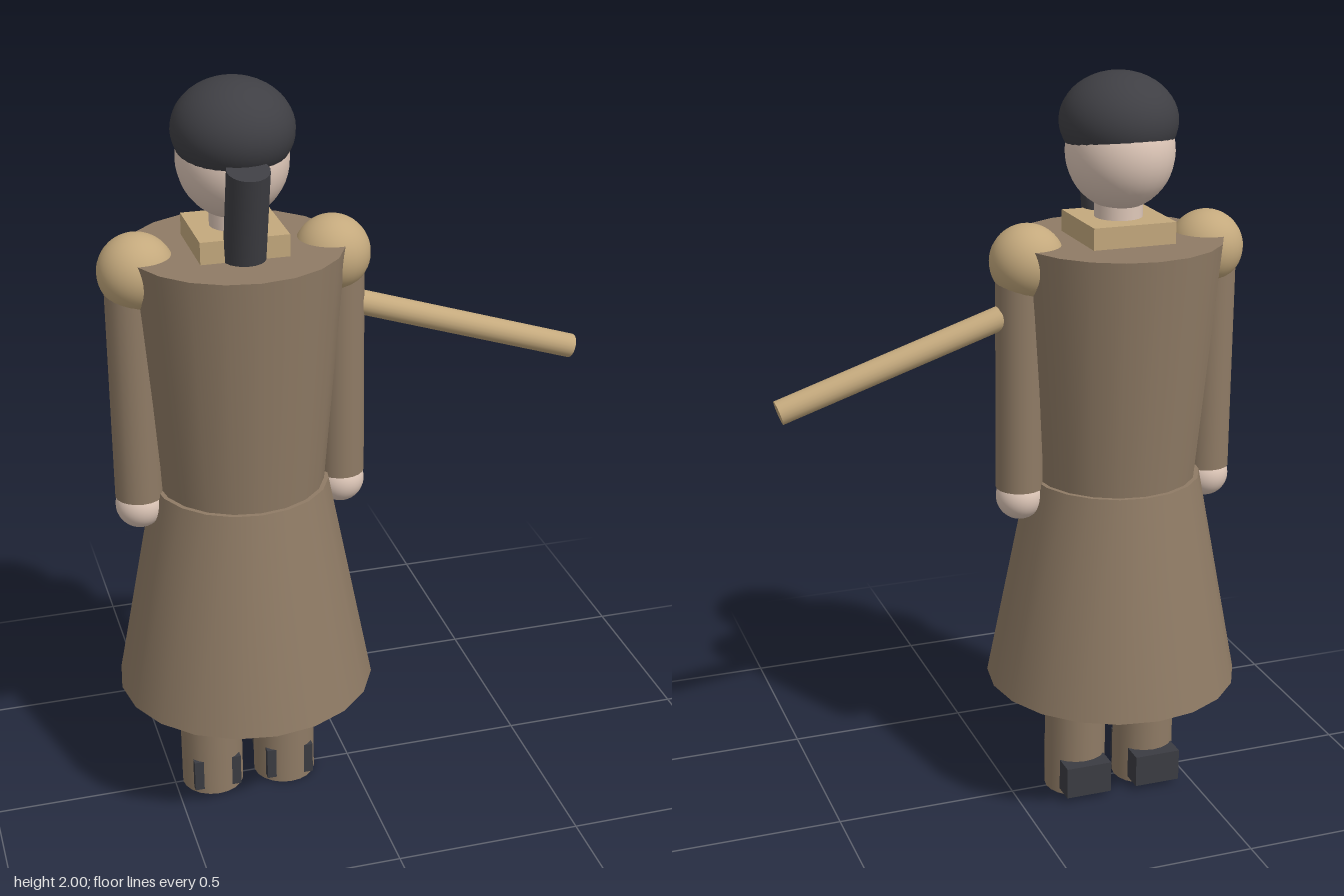
import * as THREE from 'three';

const material = (name, color) => {
  const m = new THREE.MeshStandardMaterial({ color });
  m.name = name;
  return m;
};

export function createModel() {
  const coat = material('coat brown', 0x8f7b65);
  const tan = material('light tan', 0xc4a97d);
  const skin = material('skin', 0xdfc8b9);
  const hair = material('dark hair', 0x3f3f44);
  const shoe = material('dark shoe', 0x3b3c42);

  const model = new THREE.Group();
  model.name = 'coatedFigure';
  const figure = new THREE.Group();
  figure.name = 'figure';
  figure.position.x = -0.29;
  model.add(figure);

  const add = (name, geometry, mat, x, y, z) => {
    const mesh = new THREE.Mesh(geometry, mat);
    mesh.name = name;
    mesh.position.set(x, y, z);
    figure.add(mesh);
    return mesh;
  };
  // Upright tapered round part between two heights
  const column = (name, mat, rTop, rBottom, y0, y1, x = 0, sides = 20) =>
    add(name, new THREE.CylinderGeometry(rTop, rBottom, y1 - y0, sides), mat, x, (y0 + y1) / 2, 0);
  const ellipsoid = (name, mat, rx, ry, rz, x, y, z) =>
    add(name, new THREE.SphereGeometry(1, 32, 24).scale(rx, ry, rz), mat, x, y, z);

  // Long coat
  column('coatSkirt', coat, 0.23, 0.344, 0.34, 0.932);
  column('coatTorso', coat, 0.275, 0.218, 0.932, 1.573);
  add('collar', new THREE.BoxGeometry(0.225, 0.08, 0.23), tan, 0, 1.59, 0);

  // Head, facing -z
  column('neck', skin, 0.063, 0.063, 1.58, 1.7);
  ellipsoid('head', skin, 0.14, 0.15, 0.15, 0, 1.8, -0.003);
  ellipsoid('hairCap', hair, 0.152, 0.125, 0.16, 0, 1.875, 0.01);
  const tail = add('ponytail', new THREE.CylinderGeometry(0.053, 0.053, 0.3, 20), hair, 0, 1.672, 0.128);
  tail.rotation.x = 0.25;

  // Arms and legs, mirrored
  for (const [side, s] of [['left', 1], ['right', -1]]) {
    column(side + 'Arm', coat, 0.063, 0.063, 0.918, 1.53, s * 0.27);
    ellipsoid(side + 'Hand', skin, 0.063, 0.063, 0.063, s * 0.27, 0.892, 0);
    ellipsoid(side + 'Shoulder', tan, 0.098, 0.098, 0.098, s * 0.25, 1.53, 0);
    column(side + 'Leg', coat, 0.085, 0.085, 0, 0.42, s * 0.103);
    add(side + 'Shoe', new THREE.BoxGeometry(0.13, 0.09, 0.189), shoe, s * 0.103, 0.06, -0.0205);
  }

  // Rod sticking out from the left arm
  const start = new THREE.Vector3(0.29, 1.398, 0);
  const end = new THREE.Vector3(0.912, 1.195, 0);
  const dir = end.clone().sub(start);
  const mid = start.clone().add(end).multiplyScalar(0.5);
  const rod = add('rod', new THREE.CylinderGeometry(0.032, 0.032, dir.length(), 20), tan, mid.x, mid.y, mid.z);
  rod.quaternion.setFromUnitVectors(new THREE.Vector3(0, 1, 0), dir.normalize());

  return model;
}
